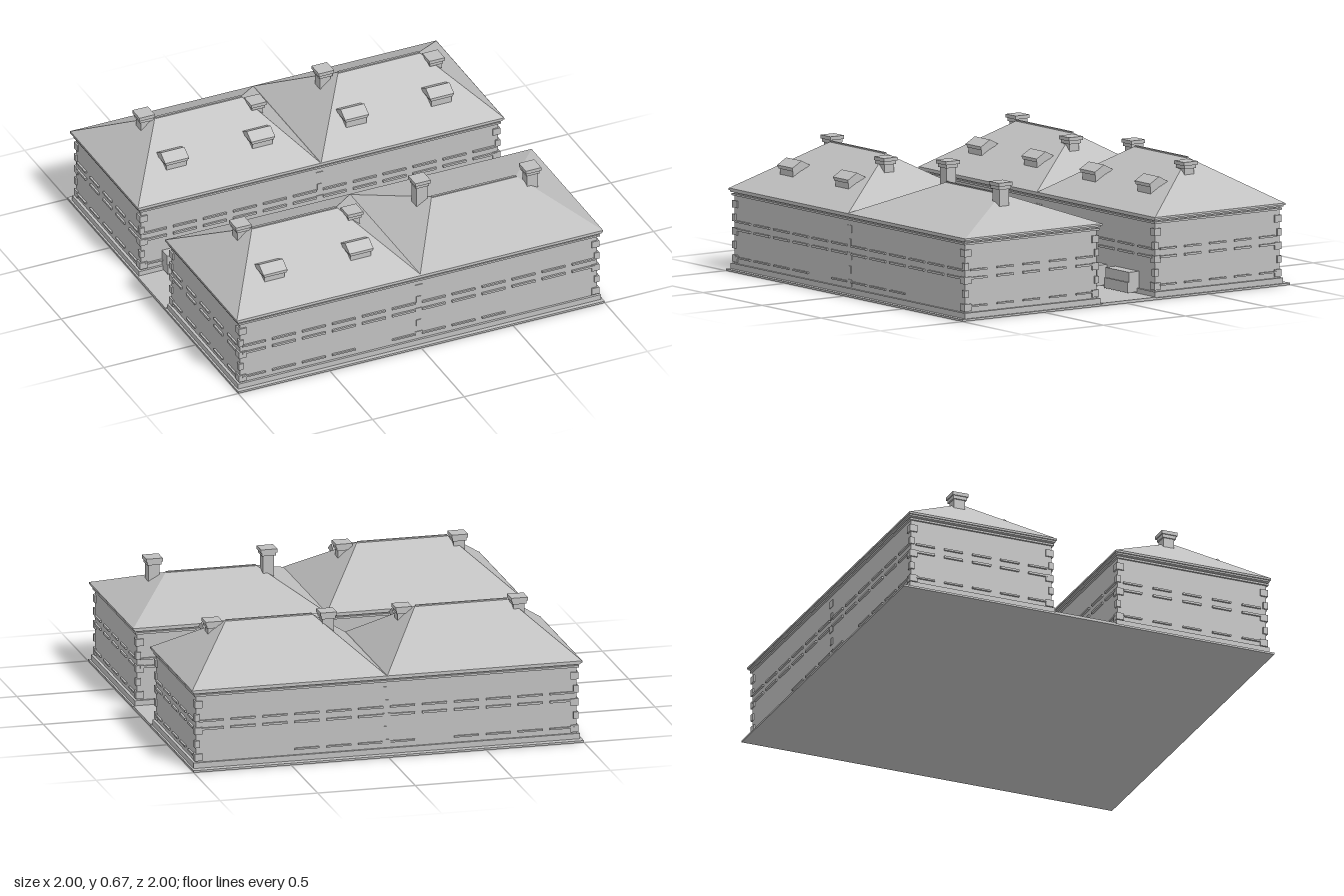
import * as THREE from 'three';

export function createModel() {
  const model = new THREE.Group();
  const stone = new THREE.MeshStandardMaterial({ color: 0xbfbfbf });
  stone.name = 'grey stone';
  stone.flatShading = true;

  const add = (parent, name, geometry) => {
    const mesh = new THREE.Mesh(geometry, stone);
    mesh.name = name;
    parent.add(mesh);
    return mesh;
  };
  // box given by its limits on each axis
  const box = (parent, name, x0, x1, y0, y1, z0, z1) => {
    const mesh = add(parent, name, new THREE.BoxGeometry(x1 - x0, y1 - y0, z1 - z0));
    mesh.position.set((x0 + x1) / 2, (y0 + y1) / 2, (z0 + z1) / 2);
    return mesh;
  };

  // hipped roof with its ridge along x
  const hipRoof = (parent, x0, x1, z0, z1, rx0, rx1, rz, top) => {
    const y = 0.412;
    const a = [x0, y, z1], b = [x1, y, z1], c = [x1, y, z0], d = [x0, y, z0];
    const l = [rx0, top, rz], r = [rx1, top, rz];
    const faces = [a, b, r, a, r, l, c, d, l, c, l, r, b, c, r, d, a, l];
    const g = new THREE.BufferGeometry();
    g.setAttribute('position', new THREE.Float32BufferAttribute(faces.flat(), 3));
    g.computeVertexNormals();
    add(parent, 'hippedRoof', g);
    box(parent, 'ridgeCap', rx0, rx1, top - 0.012, top + 0.003, rz - 0.006, rz + 0.006);
  };

  const chimney = (parent, x, z, top) => {
    const stack = new THREE.Group();
    stack.name = 'chimney';
    parent.add(stack);
    const layer = (name, h, y0, y1) => box(stack, name, x - h, x + h, y0, y1, z - h, z + h);
    layer('chimneyShaft', 0.029, 0.51, top - 0.03);
    layer('chimneyCollar', 0.036, top - 0.035, top - 0.018);
    layer('chimneyCap', 0.042, top - 0.018, top);
  };

  const dormer = (parent, x, z) => {
    const group = new THREE.Group();
    group.name = 'dormer';
    parent.add(group);
    box(group, 'dormerBody', x - 0.055, x + 0.055, 0.49, 0.537, z - 0.03, z + 0.045);
    box(group, 'dormerSill', x - 0.06, x + 0.06, 0.525, 0.537, z - 0.035, z + 0.052);
    const gable = new THREE.Shape([
      new THREE.Vector2(-0.062, 0.535), new THREE.Vector2(0.055, 0.535),
      new THREE.Vector2(0.055, 0.542), new THREE.Vector2(0, 0.574),
      new THREE.Vector2(-0.062, 0.542)]);
    const g = new THREE.ExtrudeGeometry(gable, { depth: 0.13, bevelEnabled: false });
    g.rotateY(-Math.PI / 2); // shape x becomes z
    add(group, 'dormerRoof', g).position.set(x + 0.065, 0, z);
  };

  // ground slab and raised street between the terraces
  box(model, 'groundSlab', -1, 1, 0, 0.01, -1, 1);
  box(model, 'street', -1, 1, 0.01, 0.014, -0.18, 0.145);

  const terrace = (name, z0, z1) => {
    const t = new THREE.Group();
    t.name = name;
    model.add(t);
    const X = 0.975;
    box(t, 'walls', -X, X, 0.01, 0.41, z0, z1);
    box(t, 'plinth', -0.99, 0.99, 0.01, 0.038, z0 - 0.012, z1 + 0.012);
    box(t, 'lowerCornice', -0.985, 0.985, 0.378, 0.388, z0 - 0.01, z1 + 0.01);
    box(t, 'upperCornice', -0.992, 0.992, 0.395, 0.403, z0 - 0.014, z1 + 0.014);
    box(t, 'eaves', -1, 1, 0.403, 0.413, z0 - 0.018, z1 + 0.018);

    // sills and lintels; the ground row leaves gaps for doors
    for (const [y0, y1, row] of [[0.065, 0.073, 0], [0.203, 0.214, 1], [0.245, 0.254, 2]]) {
      for (let i = 0; i < 12; i++) {
        if (row === 0 && (i === 4 || i > 8)) continue;
        const x = -0.9 + i * 0.1635;
        box(t, 'windowLedge', x - 0.063, x + 0.063, y0, y1, z1, z1 + 0.01);
        box(t, 'windowLedge', x - 0.063, x + 0.063, y0, y1, z0 - 0.01, z0);
      }
      for (let i = 0; i < 5; i++) {
        const z = z0 + (z1 - z0) * (i + 0.5) / 5;
        for (const s of [-1, 1]) {
          const e = [s * X, s * (X + 0.01)].sort((p, q) => p - q);
          box(t, 'windowLedge', e[0], e[1], y0, y1, z - 0.05, z + 0.05);
        }
      }
    }

    // corner quoins, alternating long and short, and the middle party line
    for (let k = 0; k < 5; k++) {
      const y = 0.045 + k * 0.068, w = k % 2 ? 0.025 : 0.04;
      for (const s of [-1, 1]) for (const [z, d] of [[z0, -1], [z1, 1]]) {
        const q = box(t, 'quoin', -w / 2, w / 2, y, y + 0.036, -w / 2, w / 2);
        q.position.x = s * (X + 0.008 - w / 2);
        q.position.z = z + d * (0.008 - w / 2);
      }
      box(t, 'partyQuoin', -w / 2, w / 2, y, y + 0.036, z1, z1 + 0.004);
      box(t, 'partyQuoin', -w / 2, w / 2, y, y + 0.036, z0 - 0.004, z0);
    }
    return t;
  };

  const front = terrace('frontTerrace', 0.163, 0.965);
  hipRoof(front, -1, 0.01, 0.145, 0.983, -0.72, -0.26, 0.56, 0.643);
  hipRoof(front, 0, 1, 0.145, 0.983, 0.26, 0.72, 0.56, 0.565);
  const back = terrace('backTerrace', -0.952, -0.193);
  hipRoof(back, -1, 0, -0.97, -0.175, -0.72, -0.25, -0.575, 0.643);
  hipRoof(back, 0, 1, -0.97, -0.175, 0.28, 0.72, -0.575, 0.643);

  for (const [x, dz, top] of [[-0.765, -0.04, 0.665], [-0.195, 0.045, 0.637],
    [0.213, -0.04, 0.665], [0.777, 0.045, 0.637]]) {
    chimney(front, x, 0.56 + dz, top);
    chimney(back, x, -0.57 + dz, top);
  }
  for (const x of [-0.722, -0.252]) dormer(front, x, 0.785);
  for (const x of [-0.722, -0.252]) dormer(back, x, -0.365);
  for (const x of [0.255, 0.72]) dormer(back, x, -0.355);

  // entrance porches facing the street
  for (const x of [-0.76, -0.49, 0.47, 0.74]) {
    box(back, 'porchBase', x - 0.1, x + 0.1, 0.02, 0.072, -0.195, -0.124);
    box(back, 'porch', x - 0.1, x + 0.1, 0.072, 0.122, -0.195, -0.132);
  }
  return model;
}
